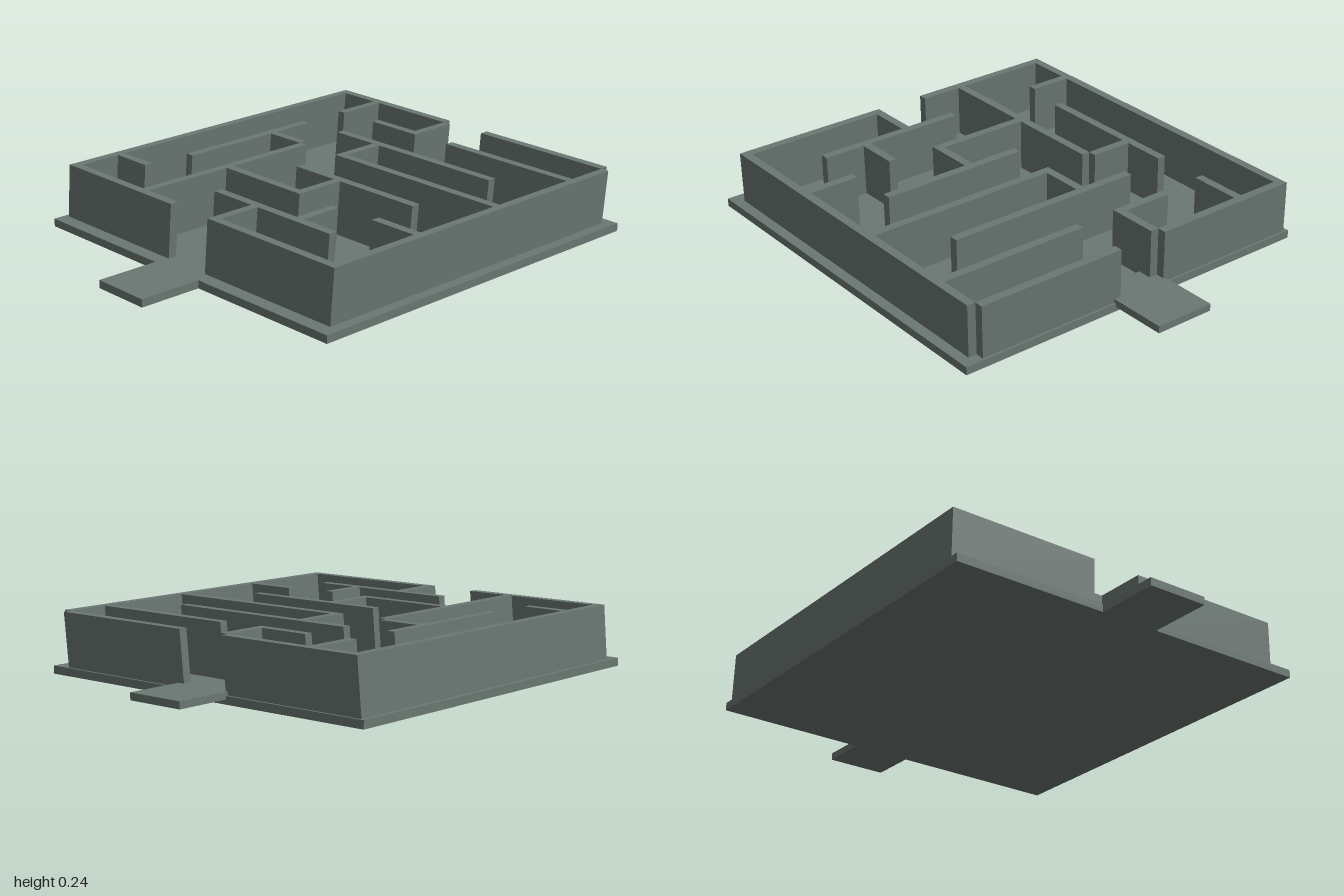
import * as THREE from 'three';

const FLOOR = 0.031, TOP = 0.242;   // wall foot and wall top heights
const STEP = 0.204, T = 0.034;      // lattice spacing and wall thickness
const LEAN_X = 0.011, LEAN_Z = -0.009; // drift of the wall tops
const X0 = -0.745, Z0 = -0.768;     // lattice origin at floor level

// horizontal walls: [row, from column, to column]
const ROWS = [
  [0, 0, 3], [0, 4, 7],
  [1, 2, 3], [1, 4, 7],
  [2, 2, 6],
  [3, 1, 2], [3, 3, 7],
  [4, 3, 6],
  [5, 2, 4], [5, 6, 7],
  [6, 0, 1], [6, 3, 6],
  [7, 0, 3], [7, 4, 7],
];
// walls running front to back: [column, from row, to row]
const COLUMNS = [
  [0, 0, 7],
  [1, 0, 1], [1, 2, 5],
  [2, 3, 7],
  [3, 0, 1], [3, 2, 3],
  [4, 4, 5], [4, 6, 7],
  [5, 5, 6],
  [7, 0, 7],
];

export function createModel() {
  const model = new THREE.Group();
  model.name = 'maze';
  const material = new THREE.MeshStandardMaterial({ color: 0x6b7873, flatShading: true });

  // box given by its two corners, optionally leaning
  function slab(name, parent, x0, x1, y0, y1, z0, z1, leaning = false) {
    const h = y1 - y0;
    const geo = new THREE.BoxGeometry(x1 - x0, h, z1 - z0);
    geo.translate((x0 + x1) / 2, h / 2, (z0 + z1) / 2);
    if (leaning) {
      const p = geo.attributes.position;
      for (let i = 0; i < p.count; i++) {
        const k = p.getY(i) / h;
        p.setX(i, p.getX(i) + LEAN_X * k);
        p.setZ(i, p.getZ(i) + LEAN_Z * k);
      }
      geo.computeVertexNormals();
    }
    geo.translate(0, y0, 0);
    const mesh = new THREE.Mesh(geo, material);
    mesh.name = name;
    parent.add(mesh);
  }

  // floor plate and the two landings
  slab('floor', model, -0.762, 0.759, 0, FLOOR, -0.777, 0.749);
  slab('entranceLanding', model, -0.142, 0.1, 0, FLOOR, 0.749, 1);
  slab('exitLanding', model, -0.142, 0.1, 0.018, 0.046, -1, -0.678);

  // maze walls on the lattice
  const walls = new THREE.Group();
  walls.name = 'walls';
  model.add(walls);
  for (const [row, a, b] of ROWS) {
    const z = Z0 + row * STEP;
    slab('crossWall', walls, X0 + a * STEP, X0 + b * STEP, FLOOR, TOP, z, z + T, true);
  }
  for (const [col, a, b] of COLUMNS) {
    const x = X0 + col * STEP;
    slab('lengthWall', walls, x, x + T, FLOOR, TOP, Z0 + a * STEP + T, Z0 + b * STEP + T, true);
  }
  return model;
}
